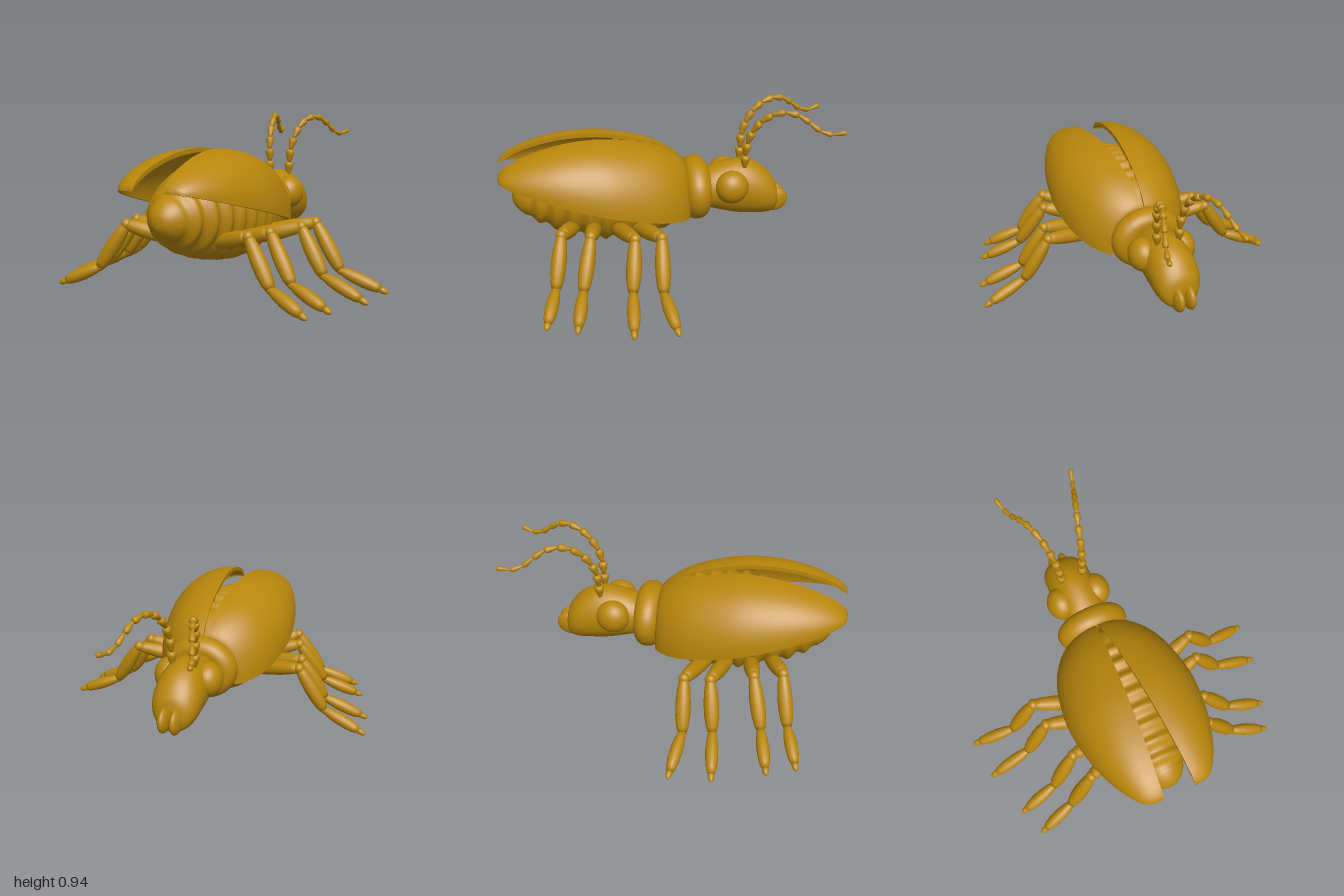
import * as THREE from 'three';
import { toCreasedNormals } from 'three/addons/utils/BufferGeometryUtils.js';

const shell = new THREE.MeshStandardMaterial({ color: 0xb8860b });
shell.name = 'amber shell';

const V = (x, y, z) => new THREE.Vector3(x, y, z);

function part(parent, name, geometry) {
  const mesh = new THREE.Mesh(geometry, shell);
  mesh.name = name;
  parent.add(mesh);
  return mesh;
}

// Closed skin over a list of equal-length rings, with fan caps
function loft(rings, crease) {
  const n = rings[0].length, m = rings.length;
  const pts = rings.flat(), idx = [];
  for (let i = 0; i < m - 1; i++) for (let j = 0; j < n; j++) {
    const a = i * n + j, b = i * n + (j + 1) % n;
    idx.push(a, b, b + n, a, b + n, a + n);
  }
  [0, m - 1].forEach((i) => {
    const c = pts.length;
    pts.push(rings[i].reduce((s, p) => s.add(p), V(0, 0, 0)).divideScalar(n));
    for (let j = 0; j < n; j++) {
      const a = i * n + j, b = i * n + (j + 1) % n;
      if (i) idx.push(a, b, c); else idx.push(b, a, c);
    }
  });
  // turn the faces outward
  let volume = 0;
  for (let k = 0; k < idx.length; k += 3) {
    volume += pts[idx[k]].dot(pts[idx[k + 1]].clone().cross(pts[idx[k + 2]]));
  }
  if (volume < 0) idx.reverse();
  const g = new THREE.BufferGeometry().setFromPoints(pts);
  g.setIndex(idx);
  return toCreasedNormals(g, crease);
}

// Turned limb segment between two points; profile holds [radius factor, 0..1]
function segment(parent, name, a, b, r, profile) {
  const len = a.distanceTo(b);
  const pts = profile.map(([k, t]) => new THREE.Vector2(k * r, t * len));
  const mesh = part(parent, name, new THREE.LatheGeometry(pts, 16));
  mesh.position.copy(a);
  mesh.quaternion.setFromUnitVectors(V(0, 1, 0), b.clone().sub(a).normalize());
}
const SPINDLE = [[0, 0], [0.5, 0.01], [0.65, 0.05], [0.85, 0.2], [1, 0.45], [0.97, 0.7], [0.8, 0.9], [0.6, 0.99], [0, 1]];
const BEAD = [[0, 0], [0.4, 0.01], [0.5, 0.15], [0.8, 0.5], [1, 0.75], [0.85, 0.93], [0.5, 1], [0, 1.01]];
const CLAW = [[0, 0], [0.9, 0.02], [1, 0.3], [0.8, 0.7], [0.4, 0.95], [0, 1]];

function ellipsoid(parent, name, p, r) {
  const mesh = part(parent, name, new THREE.SphereGeometry(1, 32, 24));
  mesh.position.copy(p);
  mesh.scale.copy(r);
  return mesh;
}

// Hollow wing case: quarter-dome sections from the seam to the lower edge
function wingCase(parent, s) {
  const rail = new THREE.CatmullRomCurve3([
    [0.14, 0.57, -0.1], [0.22, 0.63, -0.085], [0.3, 0.7, 0], [0.355, 0.755, 0.12], [0.395, 0.805, 0.35],
    [0.388, 0.812, 0.5], [0.355, 0.793, 0.68], [0.295, 0.75, 0.84], [0.235, 0.705, 0.94],
    [0.19, 0.67, 0.985], [0.14, 0.645, 1],
  ].map((p) => V(...p)));
  const rings = [], N = 56, M = 24;
  for (let i = 0; i <= N; i++) {
    const p = rail.getPoint(i / N);
    const inner = 0.008 + 0.088 * (p.z + 0.1) / 1.1;
    const base = 0.34 + 0.265 * (p.z + 0.1);
    const w = p.x - inner, h = Math.max(p.y - base, 0.008);
    const solid = i === 0 || i === N;
    const tw = solid ? w * 0.95 : Math.min(0.025, w * 0.4);
    const th = solid ? h * 0.95 : Math.min(0.025, h * 0.4);
    const arc = (dw, dh) => Array.from({ length: M + 1 }, (_, j) => {
      const q = j / M * Math.PI / 2;
      return V(s * (inner + (w - dw) * Math.cos(q) ** 0.9), base + (h - dh) * Math.sin(q) ** 0.95, p.z);
    });
    rings.push([...arc(0, 0), ...arc(tw, th).reverse()]);
  }
  part(parent, s > 0 ? 'leftWingCase' : 'rightWingCase', loft(rings, 0.7));
}

// Jointed leg from hip to claw
function leg(parent, s, hip, knee, ankle, toe) {
  const g = new THREE.Group();
  g.name = s > 0 ? 'leftLeg' : 'rightLeg';
  parent.add(g);
  const [h, k, a, t] = [hip, knee, ankle, toe].map(([x, y, z]) => V(s * x, y, z));
  segment(g, 'thigh', h, k, 0.046, SPINDLE);
  ellipsoid(g, 'knee', k, V(0.03, 0.032, 0.032));
  segment(g, 'shin', k, a, 0.043, SPINDLE);
  ellipsoid(g, 'ankle', a, V(0.024, 0.024, 0.024));
  const tip = a.clone().lerp(t, 0.83);
  segment(g, 'foot', a, tip, 0.036, SPINDLE);
  segment(g, 'claw', tip, t, 0.019, CLAW);
}

// Antenna: tapered beads strung on a curve
function antenna(parent, s) {
  const g = new THREE.Group();
  g.name = s > 0 ? 'leftAntenna' : 'rightAntenna';
  parent.add(g);
  const curve = new THREE.CatmullRomCurve3([
    [0.065, 0.58, -0.445], [0.07, 0.68, -0.45], [0.08, 0.78, -0.465], [0.1, 0.88, -0.53], [0.125, 0.935, -0.62],
    [0.155, 0.935, -0.71], [0.185, 0.88, -0.8], [0.215, 0.815, -0.89], [0.245, 0.835, -0.995],
  ].map(([x, y, z]) => V(s * x, y, z)));
  const n = 11;
  for (let i = 0; i < n; i++) {
    segment(g, 'antennaBead', curve.getPointAt(i / n), curve.getPointAt((i + 1) / n), 0.029 - 0.0014 * i, BEAD);
  }
}

export function createModel() {
  const beetle = new THREE.Group();
  beetle.name = 'beetle';

  // Ringed abdomen, turned about the z axis
  const spine = new THREE.CatmullRomCurve3([
    [0.12, -0.13], [0.15, -0.07], [0.225, 0], [0.268, 0.1], [0.292, 0.24], [0.285, 0.36],
    [0.255, 0.52], [0.205, 0.68], [0.145, 0.8], [0.085, 0.89], [0.04, 0.922], [0, 0.93],
  ].map(([r, z]) => V(r, z, 0)));
  const profile = [new THREE.Vector2(0, -0.13)];
  for (let i = 0; i <= 140; i++) {
    const p = spine.getPoint(i / 140);
    const fade = THREE.MathUtils.smoothstep(p.y, 0.02, 0.15) * (1 - THREE.MathUtils.smoothstep(p.y, 0.78, 0.88));
    profile.push(new THREE.Vector2(Math.max(0, p.x + 0.013 * fade * Math.sin(p.y / 0.095 * Math.PI * 2)), p.y));
  }
  const abdomen = part(beetle, 'abdomen', new THREE.LatheGeometry(profile, 48));
  abdomen.rotation.x = Math.PI / 2;
  abdomen.position.y = 0.47;

  // Rounded collar behind the head
  const rim = [new THREE.Vector2(0, -0.075)];
  for (let i = 0; i <= 20; i++) {
    const q = (i / 20 - 0.5) * Math.PI;
    rim.push(new THREE.Vector2(0.145 + 0.075 * Math.cos(q), 0.075 * Math.sin(q)));
  }
  rim.push(new THREE.Vector2(0, 0.075));
  const collar = part(beetle, 'collar', new THREE.LatheGeometry(rim, 48));
  collar.rotation.x = Math.PI / 2;
  collar.scale.z = 0.86;
  collar.position.set(0, 0.45, -0.155);

  // Head: oval sections given as z, bottom, top, half width
  const headRail = [
    [-0.2, 0.33, 0.55, 0.115], [-0.25, 0.315, 0.575, 0.128], [-0.33, 0.29, 0.6, 0.135], [-0.42, 0.268, 0.612, 0.138],
    [-0.5, 0.26, 0.598, 0.14], [-0.57, 0.256, 0.56, 0.135], [-0.62, 0.26, 0.51, 0.118],
    [-0.65, 0.275, 0.465, 0.09], [-0.665, 0.31, 0.41, 0.045],
  ];
  const low = new THREE.CatmullRomCurve3(headRail.map(([z, b, , w]) => V(w, b, z)));
  const high = new THREE.CatmullRomCurve3(headRail.map(([z, , t, w]) => V(w, t, z)));
  const rings = [];
  for (let i = 0; i <= 32; i++) {
    const a = low.getPoint(i / 32), b = high.getPoint(i / 32);
    rings.push(Array.from({ length: 40 }, (_, j) => {
      const q = j / 40 * Math.PI * 2;
      return V(a.x * Math.cos(q), (a.y + b.y) / 2 + (b.y - a.y) / 2 * Math.sin(q), (a.z + b.z) / 2);
    }));
  }
  part(beetle, 'head', loft(rings, 1.0));

  // Mirrored parts
  for (const s of [1, -1]) {
    wingCase(beetle, s);
    antenna(beetle, s);
    ellipsoid(beetle, 'eye', V(s * 0.115, 0.48, -0.36), V(0.085, 0.1, 0.1));
    ellipsoid(beetle, 'jaw', V(s * 0.034, 0.342, -0.65), V(0.032, 0.075, 0.082)).rotation.x = 0.2;
    leg(beetle, s, [0.13, 0.3, 0.25], [0.52, 0.395, 0.13], [0.68, 0.14, 0.145], [0.945, 0.035, 0.105]);
    leg(beetle, s, [0.13, 0.3, 0.36], [0.5, 0.39, 0.275], [0.65, 0.14, 0.31], [0.92, 0.025, 0.34]);
    leg(beetle, s, [0.13, 0.3, 0.46], [0.43, 0.39, 0.51], [0.59, 0.14, 0.575], [0.835, 0.035, 0.63]);
    leg(beetle, s, [0.12, 0.31, 0.57], [0.385, 0.39, 0.67], [0.54, 0.14, 0.72], [0.775, 0.035, 0.79]);
  }
  return beetle;
}
